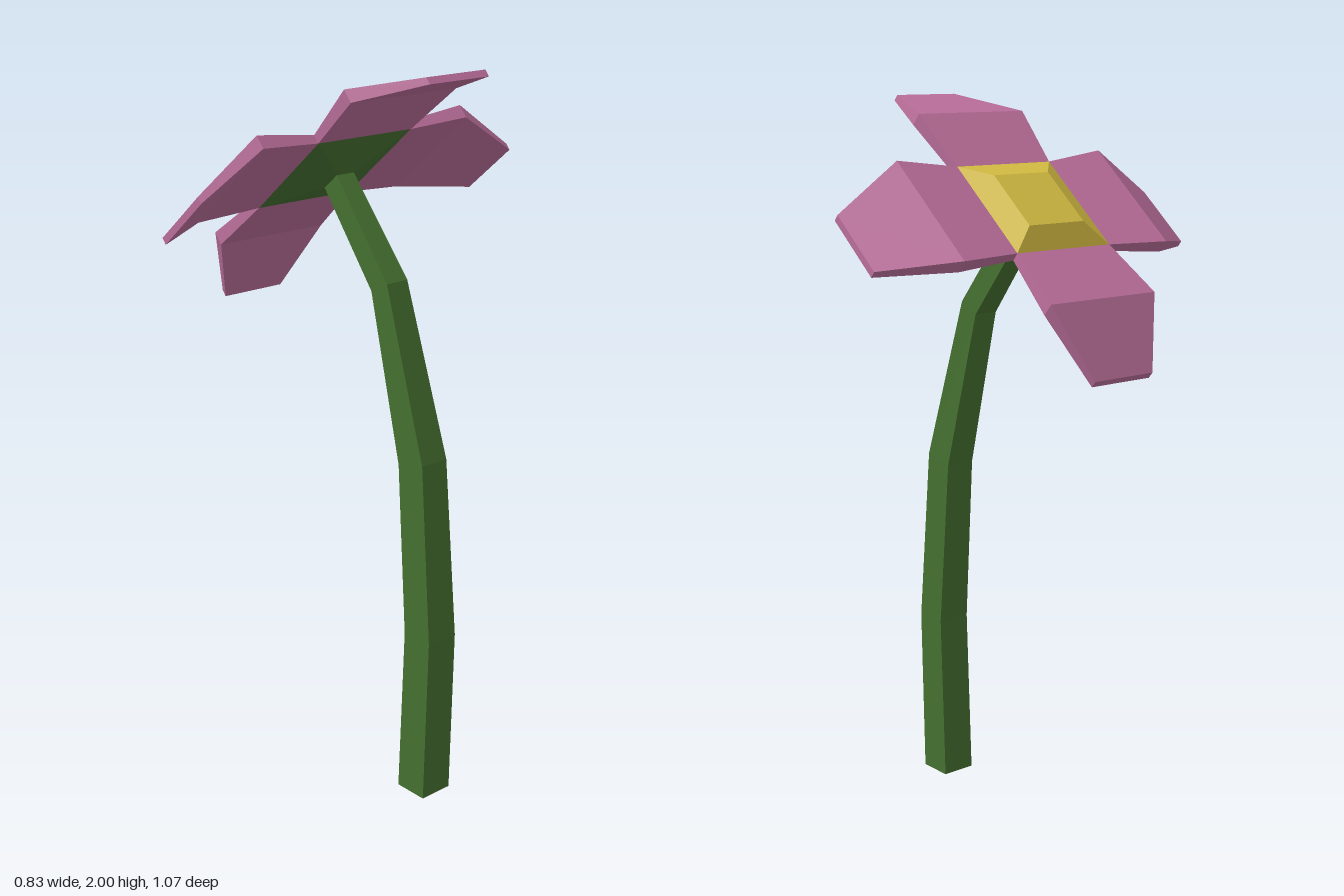
import * as THREE from 'three';

const material = (color) => new THREE.MeshStandardMaterial({ color, flatShading: true });

// Closed skin through four-cornered rings, each counter-clockwise seen from the far end
function loft(rings) {
  const pos = [];
  const quad = (a, b, c, d) => pos.push(...a, ...b, ...c, ...a, ...c, ...d);
  for (let i = 0; i < rings.length - 1; i++) {
    const [p, q] = [rings[i], rings[i + 1]];
    for (let j = 0; j < 4; j++) {
      const k = (j + 1) % 4;
      quad(p[j], p[k], q[k], q[j]);
    }
  }
  quad(...[...rings[0]].reverse());
  quad(...rings[rings.length - 1]);
  const g = new THREE.BufferGeometry();
  g.setAttribute('position', new THREE.Float32BufferAttribute(pos, 3));
  g.computeVertexNormals();
  return g;
}

function part(name, rings, mat) {
  const mesh = new THREE.Mesh(loft(rings), mat);
  mesh.name = name;
  return mesh;
}

// Ring from its left and right edges in x and y, with half depth w
const stemRing = ([lx, ly, rx, ry, w]) =>
  [[rx, ry, w], [rx, ry, -w], [lx, ly, -w], [lx, ly, w]];

// Horizontal square ring of half size s, shifted by o
const squareRing = (s, y, o = 0) =>
  [[o + s, y, o + s], [o + s, y, o - s], [o - s, y, o - s], [o - s, y, o + s]];

// Cross-section of a petal at distance x, with half width w
const petalRing = ([xTop, top, xBottom, bottom, w]) =>
  [[xBottom, bottom, -w], [xTop, top, -w], [xTop, top, w], [xBottom, bottom, w]];

export function createModel() {
  const model = new THREE.Group();
  model.name = 'flower';
  const green = material(0x457030);
  const pink = material(0xba6e9a);
  const yellow = material(0xd4bc42);

  // Bent, tapering stem
  model.add(part('stem', [
    [0.28, 0, 0.38, 0, 0.05],
    [0.297, 0.48, 0.392, 0.48, 0.049],
    [0.26, 0.96, 0.35, 0.98, 0.044],
    [0.14, 1.41, 0.2, 1.44, 0.036],
    [-0.055, 1.655, -0.006, 1.695, 0.03],
  ].map(stemRing), green));

  // Tilted flower head
  const head = new THREE.Group();
  head.name = 'flowerHead';
  head.position.set(-0.054, 1.708, 0);
  head.rotation.z = THREE.MathUtils.degToRad(40);
  model.add(head);

  head.add(part('calyx', [squareRing(0.03, -0.043), squareRing(0.16, -0.01), squareRing(0.16, 0.01)], green));
  head.add(part('flowerCentre', [squareRing(0.16, 0.008), squareRing(0.16, 0.015), squareRing(0.093, 0.055, -0.012)], yellow));

  // Four petals that rise a little, then droop at the tip
  const petalRings = [
    [0.158, 0.015, 0.158, -0.01, 0.16],
    [0.35, 0.028, 0.35, -0.011, 0.18],
    [0.535, -0.07, 0.535, -0.09, 0.1],
  ].map(petalRing);
  for (let i = 0; i < 4; i++) {
    const petal = part('petal', petalRings, pink);
    petal.rotation.y = i * Math.PI / 2;
    head.add(petal);
  }
  return model;
}
